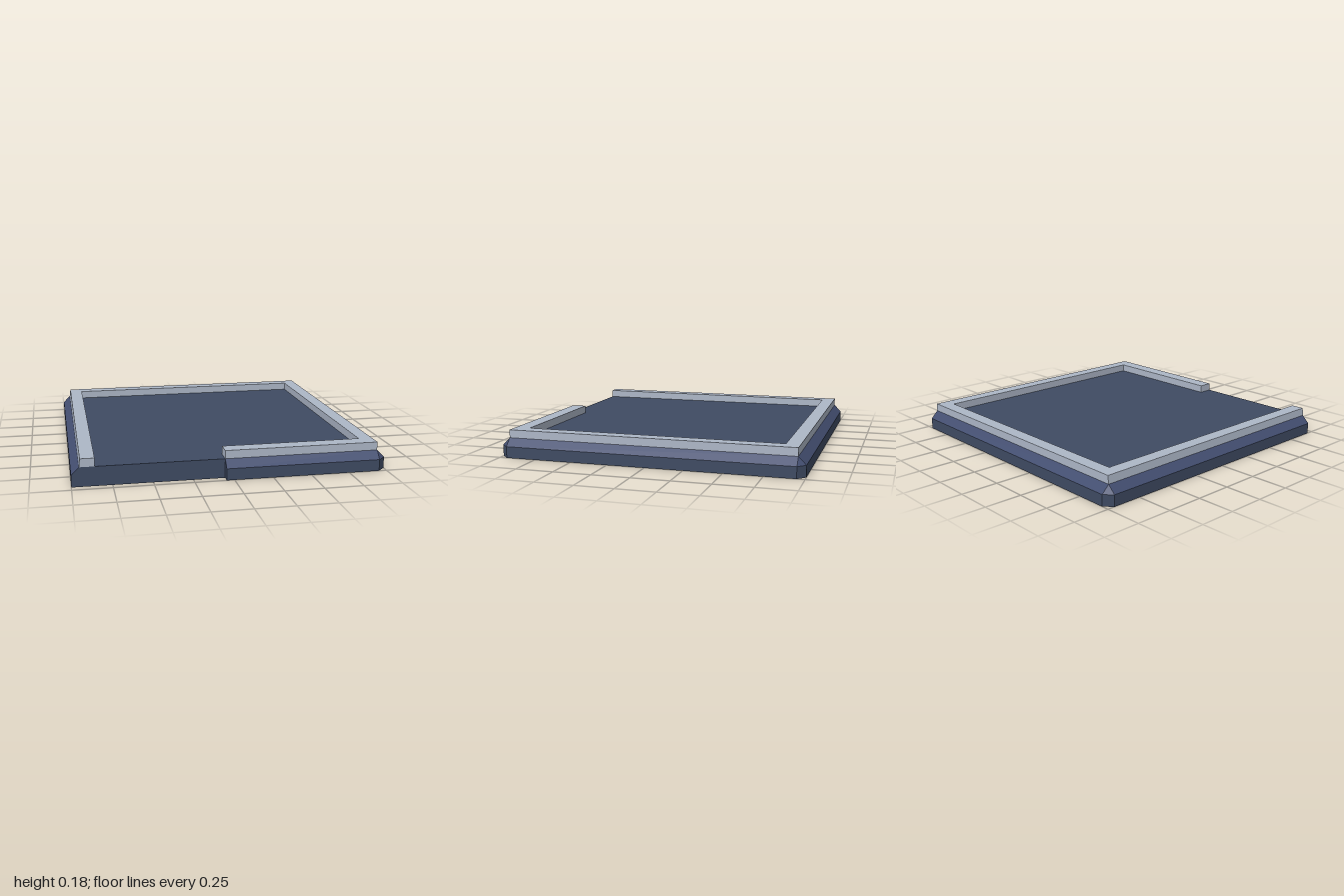
import * as THREE from 'three';

const slate = new THREE.MeshStandardMaterial({ color: 0x3f4b63 });
slate.name = 'slate';
const blueSlate = new THREE.MeshStandardMaterial({ color: 0x434e70 });
blueSlate.name = 'blueSlate';
const paleGrey = new THREE.MeshStandardMaterial({ color: 0xadb7c7 });
paleGrey.name = 'paleGrey';

const WALL = 0.075, FLOOR = 0.125, RAIL = 0.178;

// Base outline, counter-clockwise from above: [x, z, x at floor, z at floor]
const OUTLINE = [
  [-1, 0.95, -0.95, 0.95],
  [-0.05, 0.95, -0.05, 0.95],
  [-0.05, 1, -0.05, 0.95],
  [0.95, 1, 0.95, 0.95],
  [1, 0.95, 0.95, 0.95],
  [1, -0.95, 0.95, -0.95],
  [0.95, -1, 0.95, -0.95],
  [-0.95, -1, -0.95, -0.95],
  [-1, -0.95, -0.95, -0.95],
];

function meshFrom(positions, material, name) {
  const geometry = new THREE.BufferGeometry();
  geometry.setAttribute('position', new THREE.Float32BufferAttribute(positions, 3));
  geometry.computeVertexNormals();
  const mesh = new THREE.Mesh(geometry, material);
  mesh.name = name;
  return mesh;
}

function addQuad(list, a, b, c, d) {
  list.push(...a, ...b, ...c, ...a, ...c, ...d);
}

function createBase() {
  const body = [], bevel = [];
  OUTLINE.forEach((p, i) => {
    const q = OUTLINE[(i + 1) % OUTLINE.length];
    const low = (v) => [v[0], 0, v[1]];
    const mid = (v) => [v[0], WALL, v[1]];
    const top = (v) => [v[2], FLOOR, v[3]];
    addQuad(body, low(p), low(q), mid(q), mid(p));
    // the two notch faces stay upright and belong to the body
    addQuad(i < 2 ? body : bevel, mid(p), mid(q), top(q), top(p));
  });
  // Floor
  const s = 0.95;
  addQuad(body, [-s, FLOOR, s], [s, FLOOR, s], [s, FLOOR, -s], [-s, FLOOR, -s]);
  // Underside
  const flat = OUTLINE.map((p) => new THREE.Vector2(p[0], -p[1]));
  for (const [a, b, c] of THREE.ShapeUtils.triangulateShape(flat, [])) {
    for (const k of [c, b, a]) body.push(flat[k].x, 0, -flat[k].y);
  }
  const group = new THREE.Group();
  group.name = 'base';
  group.add(meshFrom(body, slate, 'slab'), meshFrom(bevel, blueSlate, 'bevel'));
  return group;
}

// Raised rim with an opening at the front left
function createRim() {
  const shape = new THREE.Shape([
    [-0.95, 0.95], [-0.855, 0.95], [-0.855, -0.86], [0.86, -0.86], [0.86, 0.85],
    [-0.05, 0.85], [-0.05, 0.95], [0.95, 0.95], [0.95, -0.95], [-0.95, -0.95],
  ].map(([x, z]) => new THREE.Vector2(x, -z)));
  const geometry = new THREE.ExtrudeGeometry(shape, { depth: RAIL - FLOOR, bevelEnabled: false });
  geometry.rotateX(-Math.PI / 2).translate(0, FLOOR, 0);
  // the outer left face leans in slightly
  const pos = geometry.attributes.position;
  for (let i = 0; i < pos.count; i++) {
    if (pos.getX(i) < -0.94 && pos.getY(i) > FLOOR + 0.01) pos.setX(i, -0.944);
  }
  geometry.computeVertexNormals();
  const rim = new THREE.Mesh(geometry, paleGrey);
  rim.name = 'rim';
  return rim;
}

export function createModel() {
  const model = new THREE.Group();
  model.name = 'walledFloorTile';
  model.add(createBase(), createRim());
  return model;
}
